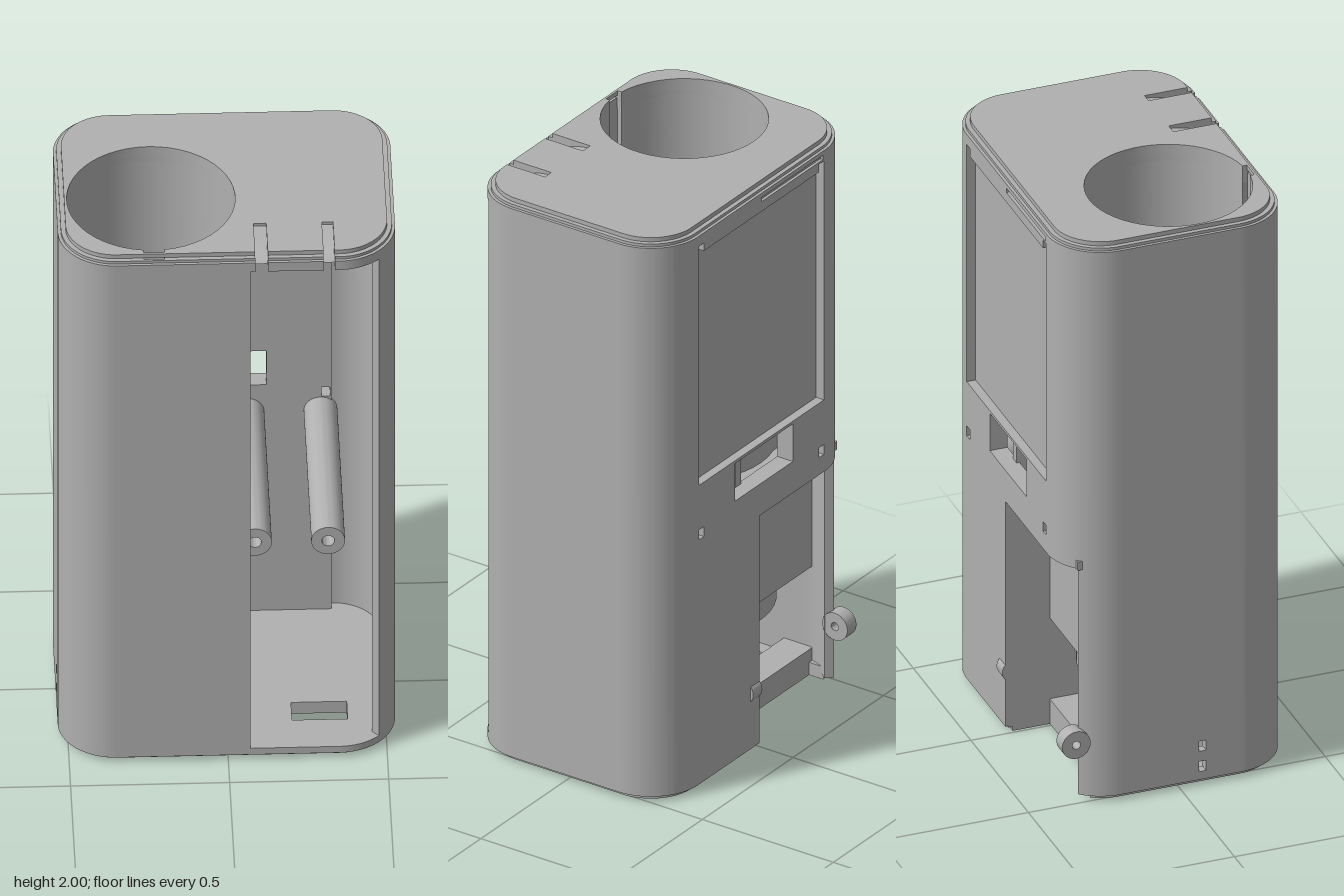
import * as THREE from 'three';
import { toCreasedNormals } from 'three/addons/utils/BufferGeometryUtils.js';

const PI = Math.PI;
const R = 0.18, CX = 0.35, ZF = 0.205, ZB = -0.2, T = 0.03; // corner radius, corner centres, wall thickness
const Y0 = 0.02, Y1 = 1.975; // wall height range
const WELL = { x: -0.2325, z: 0.075, r: 0.265 };
const SLOTS = [[0.3, 0.335], [0.085, 0.125]];
const FRONT_CUT = Math.acos(0.125 / R); // where the front opening meets its rounded corner

export function createModel() {
  const model = new THREE.Group();
  model.name = 'enclosure';
  const grey = new THREE.MeshStandardMaterial({ color: 0xb0b0b0 });
  grey.name = 'grey plastic';

  const add = (name, geo) => {
    const mesh = new THREE.Mesh(toCreasedNormals(geo, 0.5), grey);
    mesh.name = name;
    model.add(mesh);
    return mesh;
  };
  const extrude = (shape, depth) =>
    new THREE.ExtrudeGeometry(shape, { depth, bevelEnabled: false, curveSegments: 24 });
  // Plan shape (x, z) raised from y0 to y1
  const plate = (name, shape, y0, y1) =>
    add(name, extrude(shape, y1 - y0).rotateX(PI / 2).translate(0, y1, 0));
  // Elevation shape (x, y) running from z0 to z1
  const panel = (name, shape, z0, z1) => add(name, extrude(shape, z1 - z0).translate(0, 0, z0));
  // Side profile (z, y) running from x0 to x1
  const profile = (name, shape, x0, x1) =>
    add(name, extrude(shape, x1 - x0).rotateY(-PI / 2).translate(x1, 0, 0));
  const box = (name, x0, x1, y0, y1, z0, z1) =>
    add(name, new THREE.BoxGeometry(x1 - x0, y1 - y0, z1 - z0)
      .translate((x0 + x1) / 2, (y0 + y1) / 2, (z0 + z1) / 2));
  const poly = (pts) => new THREE.Shape(pts.map(([a, b]) => new THREE.Vector2(a, b)));
  const rect = (a0, a1, b0, b1) => poly([[a0, b0], [a1, b0], [a1, b1], [a0, b1]]);
  const arcBand = (cx, cz, r0, r1, a0, a1) => {
    const s = new THREE.Shape();
    s.absarc(cx, cz, r1, a0, a1, false);
    s.absarc(cx, cz, r0, a1, a0, true);
    s.closePath();
    return s;
  };
  const corner = (name, cx, cz, a0, a1, y0 = Y0, y1 = Y1) =>
    plate(name, arcBand(cx, cz, R - T, R, a0, a1), y0, y1);

  // Rounded plan outline for lid (slotted at the front) or base (cut at the back)
  const outline = (inset, isLid) => {
    const r = R - inset;
    const s = new THREE.Shape();
    s.absarc(CX, ZF, r, 0, PI / 2, false);
    if (isLid) {
      for (const [a, b] of SLOTS) {
        s.lineTo(b, ZF + r); s.lineTo(b, 0.215); s.lineTo(a, 0.215); s.lineTo(a, ZF + r);
      }
    }
    s.absarc(-CX, ZF, r, PI / 2, PI, false);
    if (isLid) {
      s.absarc(-CX, ZB, r, PI, 1.5 * PI, false);
    } else {
      s.absarc(-CX, ZB, r, PI, PI + Math.acos(0.13 / r), false);
      s.lineTo(-0.48, -0.23); s.lineTo(0.01, -0.23); s.lineTo(0.01, ZB - r);
    }
    s.absarc(CX, ZB, r, 1.5 * PI, 2 * PI, false);
    s.closePath();
    return s;
  };

  // Lid with round well mouth and key notch
  const gap = Math.asin(0.0325 / WELL.r);
  for (const [inset, y0, y1] of [[0.01, 1.94, 1.985], [0.025, 1.985, 2]]) {
    const s = outline(inset, true);
    const mouth = new THREE.Path();
    mouth.absarc(WELL.x, WELL.z, WELL.r, PI / 2 + gap, 2.5 * PI - gap, false);
    // the notch stops short of the rim
    const z = Math.min(0.37, ZF + R - inset - 0.008);
    mouth.lineTo(WELL.x + 0.0325, z);
    mouth.lineTo(WELL.x - 0.0325, z);
    mouth.closePath();
    s.holes.push(mouth);
    plate('lid', s, y0, y1);
  }
  // Base with cable slot and well outlet
  for (const [inset, y0, y1] of [[0.025, 0, 0.015], [0.01, 0.015, 0.045]]) {
    const s = outline(inset, false);
    s.holes.push(rect(0.205, 0.38, 0.155, 0.245), rect(-0.45, -0.015, -0.12, 0.275));
    plate('base', s, y0, y1);
  }
  // Curved ramps in the lid slots
  for (const [a, b] of SLOTS) {
    const s = new THREE.Shape();
    s.moveTo(0.215, 1.94);
    s.lineTo(0.345, 1.94);
    s.quadraticCurveTo(0.3, 1.985, 0.215, 1.99);
    s.closePath();
    profile('slotRamp', s, a, b);
  }

  // Outer walls
  corner('frontRightCorner', -CX, ZF, PI / 2, PI);
  corner('backRightCorner', -CX, ZB, PI, PI + Math.acos(0.13 / R));
  corner('backRightUpperCorner', -CX, ZB, PI + Math.acos(0.13 / R), 1.5 * PI, 0.83, Y1);
  corner('backLeftCorner', CX, ZB, 1.5 * PI, 2 * PI);
  corner('frontLeftCorner', CX, ZF, 0, FRONT_CUT);
  corner('openingSill', CX, ZF, FRONT_CUT, PI / 2, Y0, 0.045);
  corner('openingHead', CX, ZF, FRONT_CUT, PI / 2, 1.94, Y1);
  box('frontWall', -CX, 0.07, Y0, Y1, 0.355, 0.385);
  box('openingSill', 0.07, CX, Y0, 0.045, 0.355, 0.385);
  for (const [a, b] of [[0.07, 0.085], [0.125, 0.3], [0.335, CX]]) {
    box('openingHead', a, b, 1.94, Y1, 0.355, 0.385);
  }
  box('leftWall', 0.5, 0.53, Y0, Y1, ZB, ZF);
  const side = rect(ZB, ZF, Y0, Y1);
  for (const y of [0.067, 0.14]) side.holes.push(rect(0.063, 0.087, y - 0.018, y + 0.018));
  profile('rightWall', side, -0.53, -0.5);

  // Back wall: outer layer carries the display recess, inner layer only the through holes
  const backShape = () => poly([[0.01, Y0], [CX, Y0], [CX, Y1], [-CX, Y1], [-CX, 0.83], [0.01, 0.83]]);
  const port = () => rect(-0.174, 0.145, 0.942, 1.076);
  const clips = (y0, y1) => [rect(0.318, 0.345, y0, y1), rect(-0.345, -0.318, y0, y1)];
  const outer = backShape();
  outer.holes.push(
    poly([[-0.345, 1.086], [0.345, 1.086], [0.345, 1.938], [0.318, 1.938], [0.318, 1.91],
      [-0.318, 1.91], [-0.318, 1.938], [-0.345, 1.938]]),
    port(), rect(-0.34, 0, 1.945, 1.96), ...clips(0.892, 0.927));
  panel('backWall', outer, -0.38, -0.35);
  const inner = backShape();
  inner.holes.push(port(), ...clips(0.892, 0.927), ...clips(1.908, 1.938));
  panel('backWallLining', inner, -0.35, -0.32);

  // Lower back bay
  box('bayCeiling', -0.49, 0.04, 0.83, 0.86, -0.33, -0.2);
  box('bayPanel', -0.5, 0.04, 0.38, 0.86, -0.23, -0.2);
  box('bayThreshold', -0.5, 0.01, 0.005, 0.09, -0.23, -0.12);
  box('baySideWall', 0.01, 0.04, 0.02, 0.86, -0.37, -0.12);

  // Divider between the well and the front compartment
  box('divider', 0.04, 0.07, 0.04, 1.945, -0.33, 0.36);

  // Round well with support ledges
  plate('wellTube', arcBand(WELL.x, WELL.z, WELL.r, 0.29, PI / 2 + gap, 2.5 * PI - gap), 0.3, 1.945);
  const ring = (x, y, r0, r1) => {
    const s = new THREE.Shape().absarc(x, y, r1, 0, 2 * PI, false);
    s.holes.push(new THREE.Path().absarc(x, y, r0, 0, 2 * PI, true));
    return s;
  };
  plate('wellLedge', ring(WELL.x, WELL.z, 0.24, 0.268), 0.3, 0.36);
  plate('wellLowerLedge', ring(WELL.x, WELL.z, 0.2175, 0.242), 0.3, 0.33);

  // Screw posts in the front compartment
  for (const x of [0.085, 0.315]) panel('screwPost', ring(x, 0.835, 0.02, 0.053), -0.33, 0.348);

  // Hinge knobs beside the bay
  for (const [x0, x1, z, r] of [[-0.51, -0.46, -0.342, 0.048], [0.01, 0.06, -0.352, 0.038]]) {
    profile('hingeKnob', ring(z, 0.215, 0.014, r), x0, x1);
  }
  return model;
}
